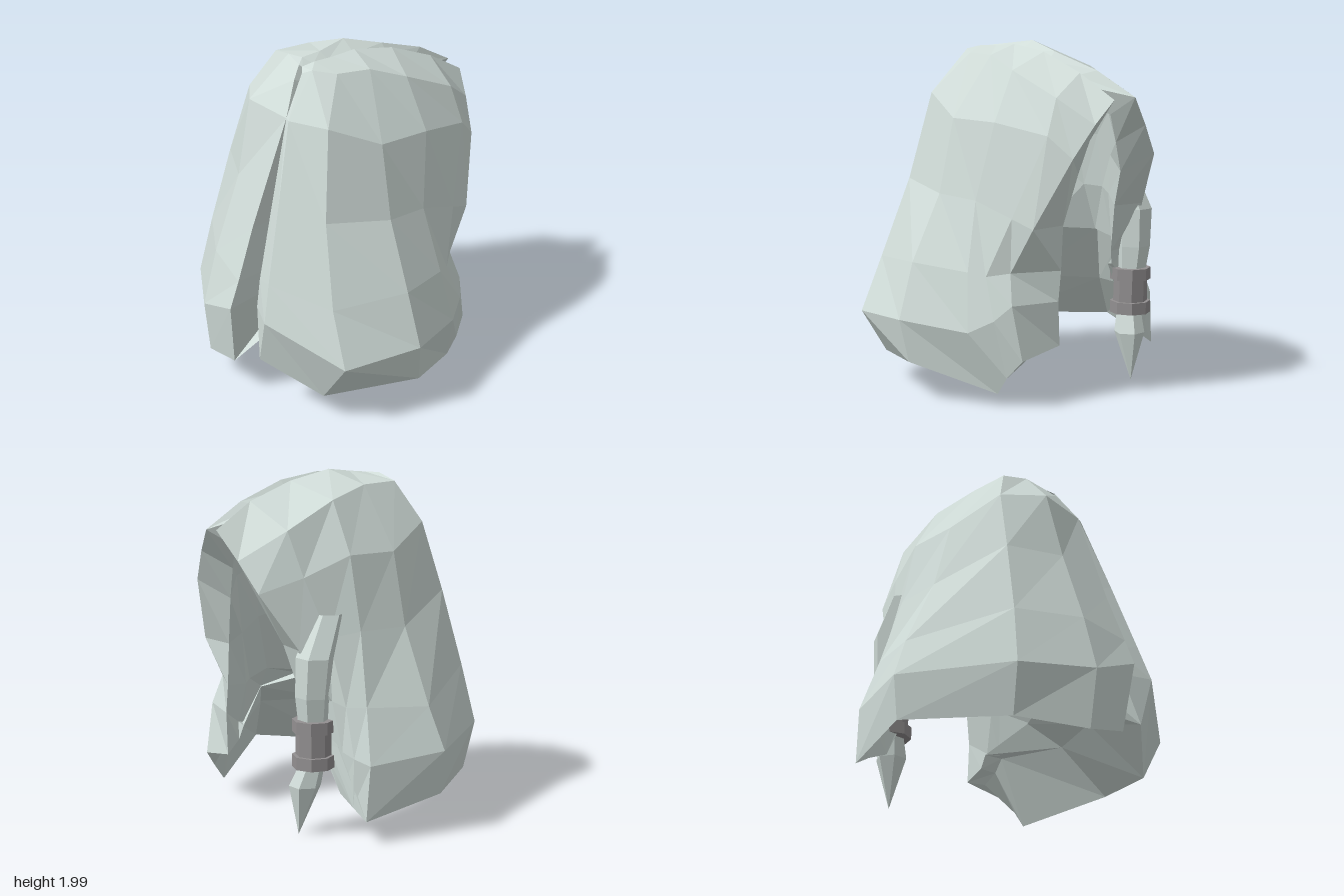
import * as THREE from 'three';

// Flat-shaded surface through closed loops of points, grid[u][v]
function loft(grid, flip, capEnds) {
  const pos = [];
  const tri = (a, b, c) => pos.push(...a, ...(flip ? c : b), ...(flip ? b : c));
  const quad = (a, b, c, d) => { tri(a, b, c); tri(a, c, d); };
  const n = grid[0].length;
  for (let u = 0; u < grid.length - 1; u++) {
    for (let v = 0; v < n; v++) {
      const w = (v + 1) % n;
      quad(grid[u][v], grid[u][w], grid[u + 1][w], grid[u + 1][v]);
    }
  }
  if (capEnds) {
    // Each loop runs down the outside and back up the inside, so cap across it
    const first = grid[0], last = grid[grid.length - 1];
    for (let v = 0; v < n / 2 - 1; v++) {
      quad(first[v], first[n - 1 - v], first[n - 2 - v], first[v + 1]);
      quad(last[v], last[v + 1], last[n - 2 - v], last[n - 1 - v]);
    }
  }
  const g = new THREE.BufferGeometry();
  g.setAttribute('position', new THREE.Float32BufferAttribute(pos, 3));
  g.computeVertexNormals();
  return g;
}

// Valley of the parting, front to back, and the bottom of the front slit, top to hem
const parting = [[0.07, 1.94, 0.28], [0.06, 1.94, 0.2], [0.06, 1.94, 0.1], [0.07, 1.94, -0.07], [0.08, 1.89, -0.3], [0.07, 1.81, -0.5], [0.05, 1.74, -0.65]];
const seam = [[0.06, 1.84, 0.1], [0.08, 1.84, 0.12], [0.1, 1.8, 0.14], [0.15, 1.62, 0.18], [0.15, 1.15, 0.2], [0.15, 0.85, 0.2], [0.15, 0.8, 0.2], [0.15, 0.75, 0.2]];
const seamFoot = [0.23, 0.47, 0.6];

// A thick sheet of hair: outside, slanted underside, then the wall facing the head.
// floors gives the height where the inner wall ends under each strand
function lock(strands, flip, floors, rimZ) {
  return loft(strands.map((strand, u) => {
    const outer = [parting[u], ...strand];
    if (u === 0) return [...outer, seamFoot, ...[...seam].reverse()];
    const [hx, hy, hz] = outer[7];
    const fold = [hx * 0.72, Math.max(hy + 0.03, Math.min(0.52, floors[u])), (hz + 0.5) * 0.75 - 0.5];
    const inner = outer.map(([x, y, z]) => {
      const depth = (z + 0.5) * 0.52 - 0.5;
      return [x * 0.52, Math.max(y > 1.3 ? y - 0.1 : y, floors[u]), u === 6 ? Math.min(depth, rimZ) : depth];
    });
    return [...outer, fold, ...inner.reverse()];
  }), flip, true);
}

export function createModel() {
  const model = new THREE.Group();
  const hair = new THREE.MeshStandardMaterial({ color: 0xd0dcd8, flatShading: true, side: THREE.DoubleSide });
  hair.name = 'paleHair';
  const metal = new THREE.MeshStandardMaterial({ color: 0x939091, flatShading: true });
  metal.name = 'greyMetal';
  const add = (name, geometry, material, parent = model) => {
    const mesh = new THREE.Mesh(geometry, material);
    mesh.name = name;
    parent.add(mesh);
    return mesh;
  };

  // Strands from the slit round to the rim of the face opening
  const rightStrands = [
    [[0.05, 1.95, 0.29], [0.09, 1.89, 0.35], [0.17, 1.72, 0.46], [0.14, 1.1, 0.68], [0.15, 0.8, 0.79], [0.15, 0.64, 0.85], [0.09, 0.24, 0.8]],
    [[0.01, 1.97, 0.24], [-0.08, 1.97, 0.27], [-0.15, 1.73, 0.49], [-0.13, 1.3, 0.59], [-0.15, 0.85, 0.75], [-0.16, 0.52, 0.84], [-0.18, 0.18, 0.8]],
    [[0.01, 1.98, 0.12], [-0.25, 1.93, 0.24], [-0.38, 1.7, 0.34], [-0.44, 1.3, 0.45], [-0.5, 0.85, 0.56], [-0.55, 0.5, 0.63], [-0.52, 0.22, 0.57]],
    [[-0.03, 2.0, -0.07], [-0.26, 1.92, 0], [-0.48, 1.56, 0.03], [-0.59, 1.15, 0.02], [-0.79, 0.73, 0.02], [-0.89, 0.49, 0.05], [-0.86, 0.24, 0.05]],
    [[0.03, 1.94, -0.3], [-0.31, 1.85, -0.27], [-0.47, 1.56, -0.28], [-0.56, 1.15, -0.28], [-0.67, 0.75, -0.33], [-0.76, 0.45, -0.38], [-0.75, 0.14, -0.4]],
    [[0.01, 1.84, -0.6], [-0.3, 1.7, -0.58], [-0.39, 1.45, -0.54], [-0.48, 1.12, -0.44], [-0.59, 0.75, -0.41], [-0.67, 0.48, -0.42], [-0.65, 0.2, -0.41]],
    [[-0.02, 1.7, -0.85], [-0.16, 1.54, -0.81], [-0.29, 1.37, -0.77], [-0.41, 1.06, -0.59], [-0.52, 0.78, -0.45], [-0.57, 0.5, -0.42], [-0.53, 0.25, -0.4]],
  ];
  const leftStrands = [
    [[0.08, 1.95, 0.29], [0.12, 1.93, 0.32], [0.17, 1.72, 0.46], [0.18, 1.2, 0.58], [0.2, 0.8, 0.68], [0.21, 0.64, 0.71], [0.24, 0.47, 0.66]],
    [[0.1, 1.97, 0.22], [0.16, 1.95, 0.28], [0.19, 1.71, 0.46], [0.28, 1.25, 0.6], [0.35, 0.85, 0.72], [0.39, 0.64, 0.78], [0.3, 0.35, 0.76]],
    [[0.1, 1.97, 0.1], [0.24, 1.93, 0.17], [0.39, 1.7, 0.34], [0.49, 1.2, 0.43], [0.65, 0.75, 0.5], [0.79, 0.44, 0.52], [0.6, 0.17, 0.53]],
    [[0.1, 1.98, -0.05], [0.27, 1.92, -0.03], [0.49, 1.57, 0.05], [0.59, 1.15, 0.06], [0.78, 0.78, 0.08], [0.89, 0.47, 0.07], [0.85, 0.23, 0.04]],
    [[0.12, 1.94, -0.3], [0.32, 1.84, -0.25], [0.48, 1.56, -0.27], [0.56, 1.13, -0.2], [0.67, 0.75, -0.25], [0.73, 0.43, -0.31], [0.59, 0.08, -0.4]],
    [[0.13, 1.83, -0.58], [0.32, 1.7, -0.58], [0.41, 1.5, -0.6], [0.53, 1.05, -0.45], [0.62, 0.73, -0.34], [0.65, 0.5, -0.43], [0.59, 0.18, -0.47]],
    [[0.12, 1.69, -0.82], [0.23, 1.56, -0.78], [0.35, 1.38, -0.73], [0.5, 1.0, -0.58], [0.53, 0.75, -0.44], [0.57, 0.58, -0.49], [0.55, 0.28, -0.55]],
  ];
  add('rightHair', lock(rightStrands, true, [0.75, 0.8, 0.87, 0.87, 0.85, 0.75, 0.7], 0), hair);
  add('leftHair', lock(leftStrands, false, [0.75, 0.74, 0.72, 0.66, 0.48, 0.4, 0.33], -0.58), hair);

  // Hanging braid: hexagonal sections [x, y, z, radius]
  const braid = new THREE.Group();
  braid.name = 'braid';
  model.add(braid);
  const sections = [
    [-0.43, 1.25, -0.4, 0.09], [-0.44, 1.02, -0.5, 0.11], [-0.43, 0.8, -0.51, 0.1],
    [-0.42, 0.6, -0.5, 0.08], [-0.41, 0.42, -0.5, 0.07], [-0.38, 0.29, -0.53, 0.09], [-0.36, 0.01, -0.56, 0.001],
  ].map(([x, y, z, r]) => Array.from({ length: 6 }, (_, i) => {
    const a = i * Math.PI / 3;
    return [x + r * Math.cos(a), y, z + r * Math.sin(a)];
  }));
  add('braidHair', loft(sections, true, false), hair, braid);

  // Metal clasp: narrow sleeve between two wider rings
  for (const [name, y, r, h] of [['upperRing', 0.635, 0.12, 0.07], ['sleeve', 0.535, 0.1, 0.15], ['lowerRing', 0.435, 0.12, 0.07]]) {
    add(name, new THREE.CylinderGeometry(r, r, h, 8), metal, braid).position.set(-0.42, y, -0.5);
  }
  return model;
}
